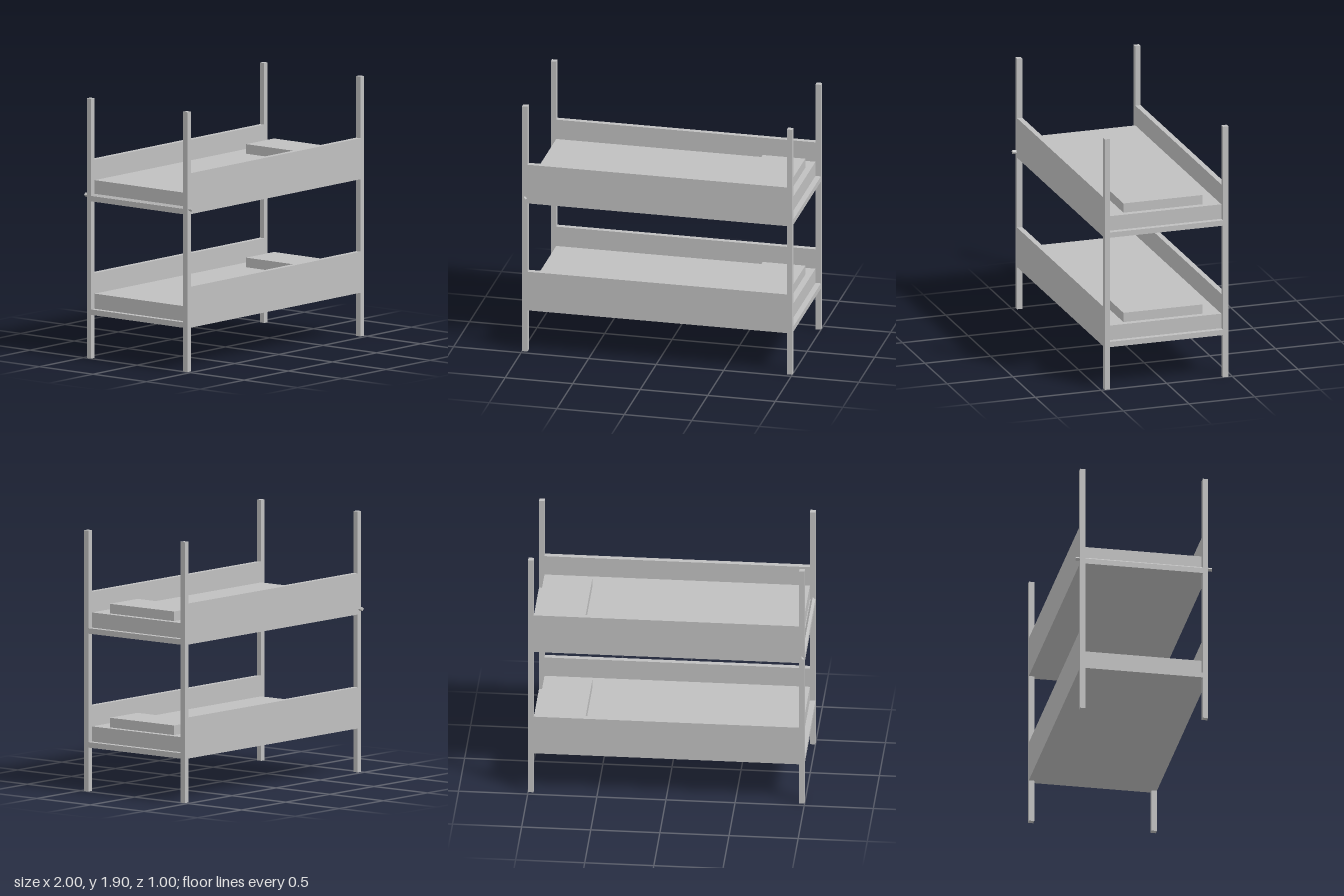
import * as THREE from 'three';

export function createModel() {
  const bed = new THREE.Group();
  bed.name = 'bunkBed';
  const grey = new THREE.MeshStandardMaterial({ color: 0xc0c0c0 });
  grey.name = 'plainGrey';

  // Box given by its minimum and maximum corners
  function addBox(parent, name, [x0, y0, z0], [x1, y1, z1]) {
    const mesh = new THREE.Mesh(new THREE.BoxGeometry(x1 - x0, y1 - y0, z1 - z0), grey);
    mesh.position.set((x0 + x1) / 2, (y0 + y1) / 2, (z0 + z1) / 2);
    mesh.name = name;
    parent.add(mesh);
  }

  // Corner posts
  for (const x of [-0.98, 0.98]) {
    for (const z of [-0.45, 0.45]) {
      addBox(bed, 'post', [x - 0.02, 0, z - 0.02], [x + 0.02, 1.9, z + 0.02]);
    }
  }

  // Two bunks: base board, mattress, pillow and side rails
  for (const [name, y] of [['lowerBunk', 0.32], ['upperBunk', 1.15]]) {
    const bunk = new THREE.Group();
    bunk.name = name;
    bunk.position.y = y;
    addBox(bunk, 'baseBoard', [-1, 0, -0.43], [1, 0.04, 0.43]);
    addBox(bunk, 'mattress', [-0.96, 0.04, -0.43], [0.96, 0.15, 0.43]);
    addBox(bunk, 'pillow', [0.6, 0.15, -0.3], [0.915, 0.22, 0.3]);
    for (const z of [-0.45, 0.45]) {
      addBox(bunk, 'sideRail', [-0.96, 0, z - 0.02], [0.96, 0.3, z + 0.02]);
    }
    bed.add(bunk);
  }

  // Diamond-section rod through the posts at the foot of the upper bunk
  const rodGeometry = new THREE.CylinderGeometry(0.015, 0.015, 1, 4).toNonIndexed();
  rodGeometry.computeVertexNormals();
  const rod = new THREE.Mesh(rodGeometry, grey);
  rod.name = 'crossRod';
  rod.rotation.x = Math.PI / 2;
  rod.position.set(-0.98, 1.19, 0);
  bed.add(rod);

  return bed;
}
